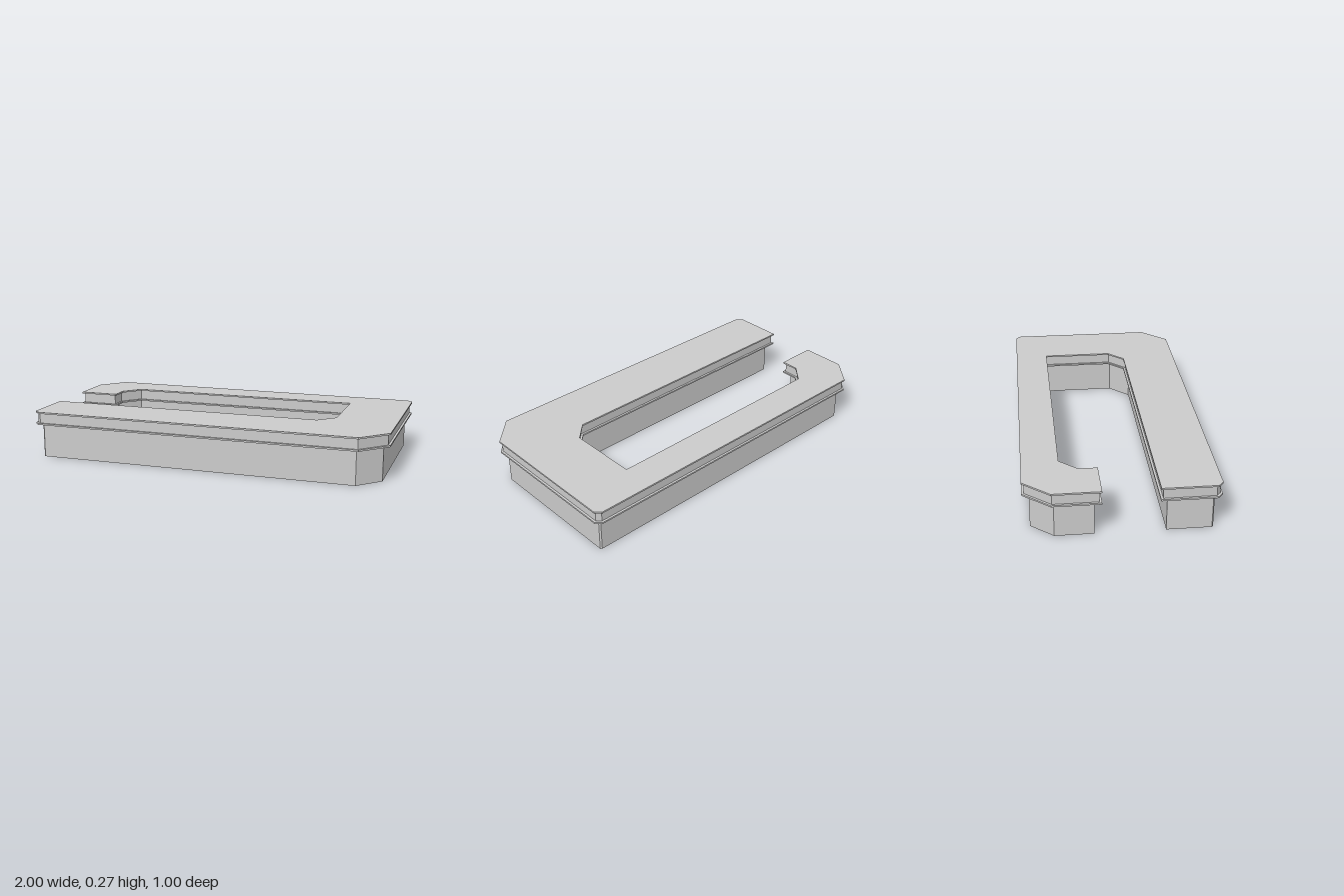
import * as THREE from 'three';

// Counter footprint as (x, z) corners
const OUTLINE = [
  [-1, 0.18], [0.57, 0.18], [0.66, 0.09], [0.66, -0.305], [-0.685, -0.305], [-0.77, -0.21],
  [-0.77, -0.11], [-1, -0.11], [-1, -0.36], [-0.88, -0.5], [0.97, -0.492], [1, -0.465],
  [1, 0.355], [0.86, 0.5], [-0.97, 0.492], [-1, 0.465],
].map(([x, z]) => new THREE.Vector2(x, -z));

// Move every edge inward by d with mitred corners
function inset(points, d) {
  const sign = Math.sign(THREE.ShapeUtils.area(points));
  const n = points.length;
  const normal = (a, b) => {
    const e = b.clone().sub(a).normalize();
    return new THREE.Vector2(-e.y * sign, e.x * sign);
  };
  return points.map((p, i) => {
    const n1 = normal(points[(i + n - 1) % n], p);
    const n2 = normal(p, points[(i + 1) % n]);
    const m = n1.clone().add(n2);
    return p.clone().addScaledVector(m, d / (1 + n1.dot(n2)));
  });
}

export function createModel() {
  const group = new THREE.Group();
  group.name = 'counter';
  const material = new THREE.MeshStandardMaterial({ color: 0xcccccc, flatShading: true });

  // Stacked layers: name, bottom, top, inset from the footprint
  const layers = [
    ['base', 0, 0.192, 0.036],
    ['lowerTrim', 0.192, 0.201, 0],
    ['band', 0.201, 0.257, 0.012],
    ['countertop', 0.257, 0.266, 0],
  ];
  for (const [name, y0, y1, d] of layers) {
    const shape = new THREE.Shape(inset(OUTLINE, d));
    const geometry = new THREE.ExtrudeGeometry(shape, { depth: y1 - y0, bevelEnabled: false });
    geometry.rotateX(-Math.PI / 2);
    const mesh = new THREE.Mesh(geometry, material);
    mesh.name = name;
    mesh.position.y = y0;
    group.add(mesh);
  }
  return group;
}
